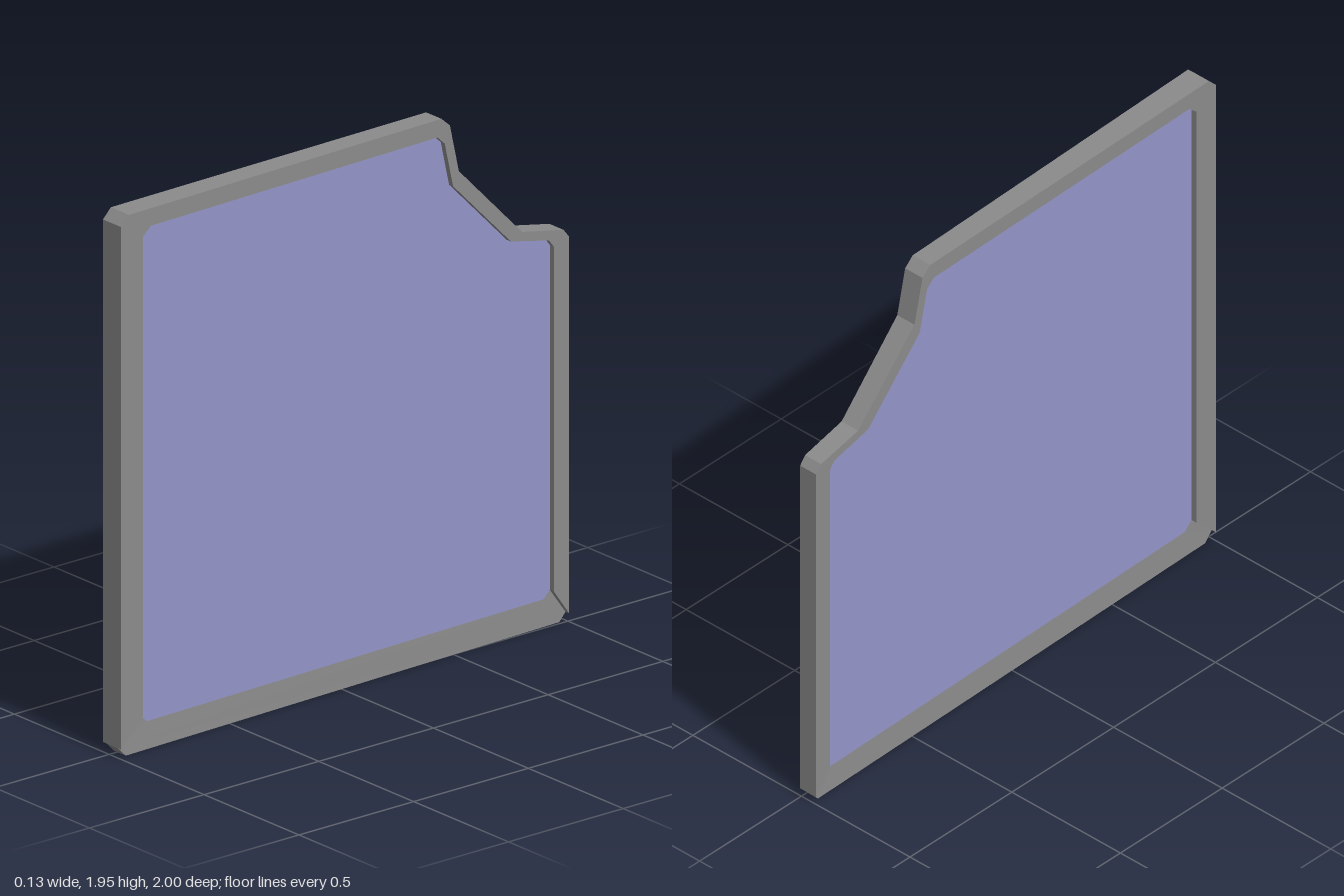
import * as THREE from 'three';

const lerp = THREE.MathUtils.lerp;

// Panel thickness runs along x; it leans sideways and thins toward the back.
const along = (z, front, back) => lerp(back, front, (z + 1) / 2);
const centre = (z) => along(z, 0.015, -0.031);
const frameHalf = (z) => along(z, 0.048, 0.037);
const glassHalf = (z) => along(z, 0.026, 0.016);
const sillHalf = (z, y) => lerp(along(z, 0.031, 0.019), glassHalf(z), Math.min(y / 0.1, 1));

// Outline in (z, y), thickened by a rule giving the half thickness at each point.
function slab(name, outline, half, material) {
  const shape = new THREE.Shape(outline.map(([z, y]) => new THREE.Vector2(-z, y)));
  const geometry = new THREE.ExtrudeGeometry(shape, { depth: 1, bevelEnabled: false });
  const p = geometry.attributes.position;
  for (let i = 0; i < p.count; i++) {
    const z = -p.getX(i), y = p.getY(i), side = p.getZ(i) * 2 - 1;
    p.setXYZ(i, centre(z) + side * half(z, y), y, z);
  }
  geometry.computeVertexNormals();
  const mesh = new THREE.Mesh(geometry, material);
  mesh.name = name;
  return mesh;
}

export function createModel() {
  const frameGrey = new THREE.MeshStandardMaterial({ name: 'frameGrey', color: 0x8b8b8b });
  const paneLilac = new THREE.MeshStandardMaterial({ name: 'paneLilac', color: 0x9494c8 });

  // Outer and inner edges, from the front foot over the top to the back foot
  const outer = [
    [1, 0.035], [1, 1.91], [0.965, 1.945], [-0.43, 1.945], [-0.468, 1.912],
    [-0.508, 1.738], [-0.79, 1.45], [-0.975, 1.412], [-1, 1.382], [-1, 0.03],
  ];
  const inner = [
    [0.902, 0.13], [0.902, 1.852], [0.867, 1.882], [-0.412, 1.882], [-0.445, 1.852],
    [-0.482, 1.69], [-0.74, 1.428], [-0.91, 1.39], [-0.932, 1.362], [-0.932, 0.125],
  ];
  // Bottom edges, front to back
  const foot = [[0.965, 0], [-0.972, 0]];
  const paneFoot = [[0.867, 0.098], [-0.905, 0.098]];

  const first = (list) => list[0];
  const last = (list) => list[list.length - 1];

  const model = new THREE.Group();
  model.name = 'notchedWindow';
  model.add(
    // Raised posts and top rail with the stepped corner
    slab('frame', [...outer, ...[...inner].reverse()], frameHalf, frameGrey),
    // Sloping sill, flush with the pane at its upper edge
    slab('sill', [first(outer), ...foot, last(outer), last(inner),
      ...[...paneFoot].reverse(), first(inner)], sillHalf, frameGrey),
    // Recessed pane
    slab('pane', [...inner, ...[...paneFoot].reverse()], glassHalf, paneLilac),
  );
  return model;
}
